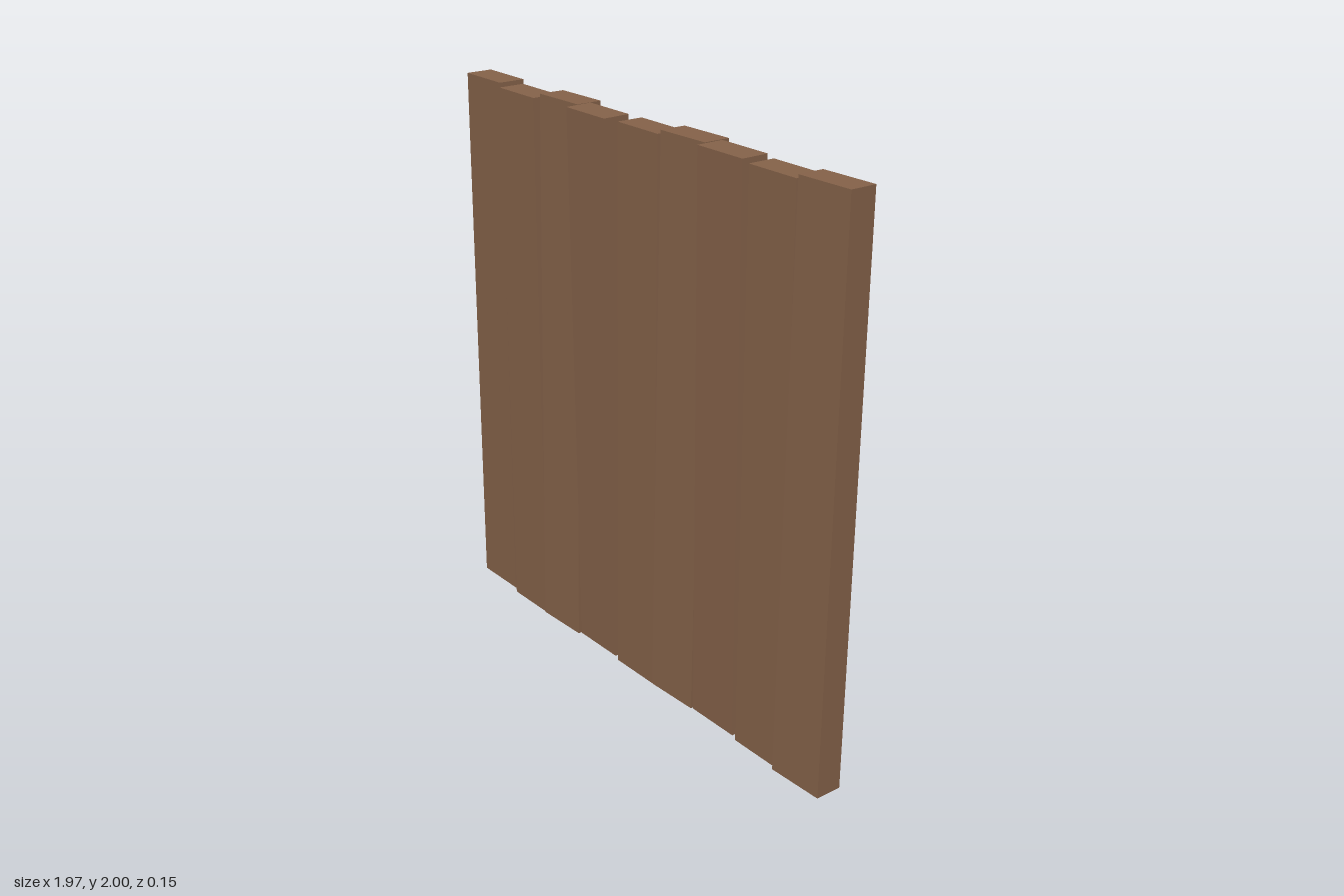
import * as THREE from 'three';

const WIDTH = 0.21, LENGTH = 1.985, DEPTH = 0.098;

// centre x, raised from the ground, centre z at the bottom, centre z at the top, yaw
const PLANKS = [
  [-0.88, true, -0.005, -0.005, 0],
  [-0.665, false, -0.005, 0.0, 0],
  [-0.44, true, 0.011, -0.019, 0.03],
  [-0.225, true, -0.005, 0.025, 0],
  [-0.005, false, -0.009, -0.021, 0],
  [0.217, true, 0.004, -0.026, 0.03],
  [0.434, true, -0.005, 0.005, 0],
  [0.654, false, -0.009, -0.011, 0],
  [0.875, true, 0.018, -0.009, 0.03],
];

export function createModel() {
  const model = new THREE.Group();
  model.name = 'plankWall';

  const wood = new THREE.MeshStandardMaterial({ color: 0x86634a });
  wood.name = 'brown wood';
  const board = new THREE.BoxGeometry(WIDTH, LENGTH, DEPTH);

  // Row of boards, each leaning and turning a little differently
  PLANKS.forEach(([x, raised, zBottom, zTop, yaw], i) => {
    const plank = new THREE.Mesh(board, wood);
    plank.name = `plank${i + 1}`;
    plank.position.set(x, LENGTH / 2 + (raised ? 0.015 : 0), (zBottom + zTop) / 2);
    plank.rotation.set(Math.atan2(zTop - zBottom, LENGTH), yaw, 0, 'YXZ');
    model.add(plank);
  });

  return model;
}
